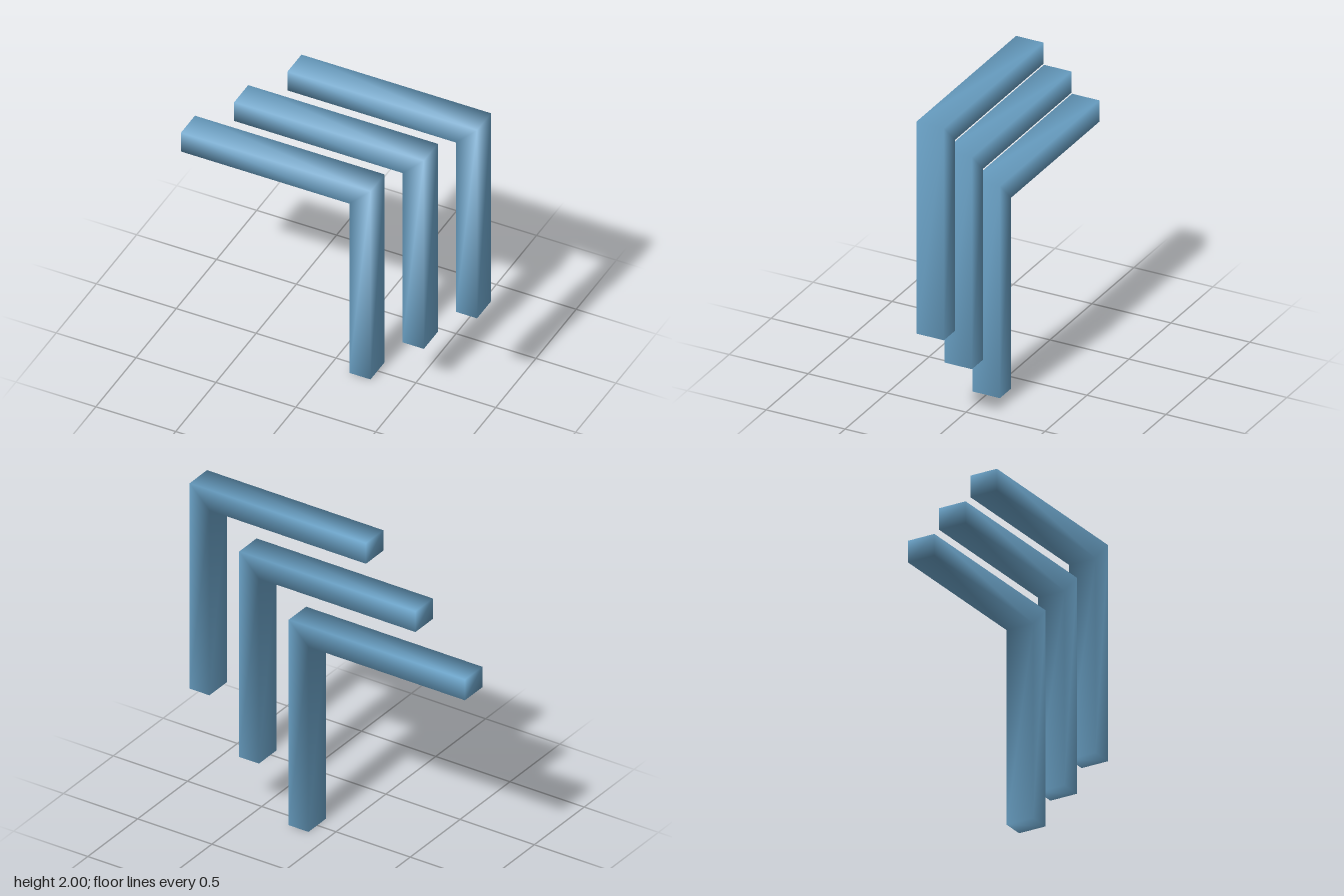
import * as THREE from 'three';

const HALF_DEPTH = 0.087;

// Mitred right-angle bar: rectangular rings at the left end, the corner and the foot,
// with shared vertices so the shading runs smoothly round the edges.
function angleBarGeometry() {
  const right = 0.26, left = -0.927, top = 1.333, t = 0.133;
  const stations = [
    { outer: [left, top], inner: [left, top - t] },
    { outer: [right, top], inner: [right - t, top - t] },
    { outer: [right, 0], inner: [right - t, 0] },
  ];
  const positions = [];
  for (const { outer, inner } of stations) {
    positions.push(...outer, HALF_DEPTH, ...inner, HALF_DEPTH, ...inner, -HALF_DEPTH, ...outer, -HALF_DEPTH);
  }

  const index = [];
  const quad = (a, b, c, d) => index.push(a, b, c, a, c, d);
  for (let s = 0; s < stations.length - 1; s++) {
    for (let j = 0; j < 4; j++) {
      const k = (j + 1) % 4;
      quad(s * 4 + j, s * 4 + k, s * 4 + 4 + k, s * 4 + 4 + j);
    }
  }
  quad(0, 3, 2, 1); // left end
  quad(8, 9, 10, 11); // foot

  const geometry = new THREE.BufferGeometry();
  geometry.setAttribute('position', new THREE.Float32BufferAttribute(positions, 3));
  geometry.setIndex(index);
  geometry.computeVertexNormals();
  return geometry;
}

export function createModel() {
  const group = new THREE.Group();
  group.name = 'nestedAngleBars';
  const geometry = angleBarGeometry();
  const material = new THREE.MeshStandardMaterial({ color: 0x6ba3c8 });

  // Three equal bars stepped diagonally up and to the side
  ['lowerAngleBar', 'middleAngleBar', 'upperAngleBar'].forEach((name, i) => {
    const bar = new THREE.Mesh(geometry, material);
    bar.name = name;
    bar.position.set(i * 0.3335, i * 0.3335, 0);
    group.add(bar);
  });
  return group;
}
